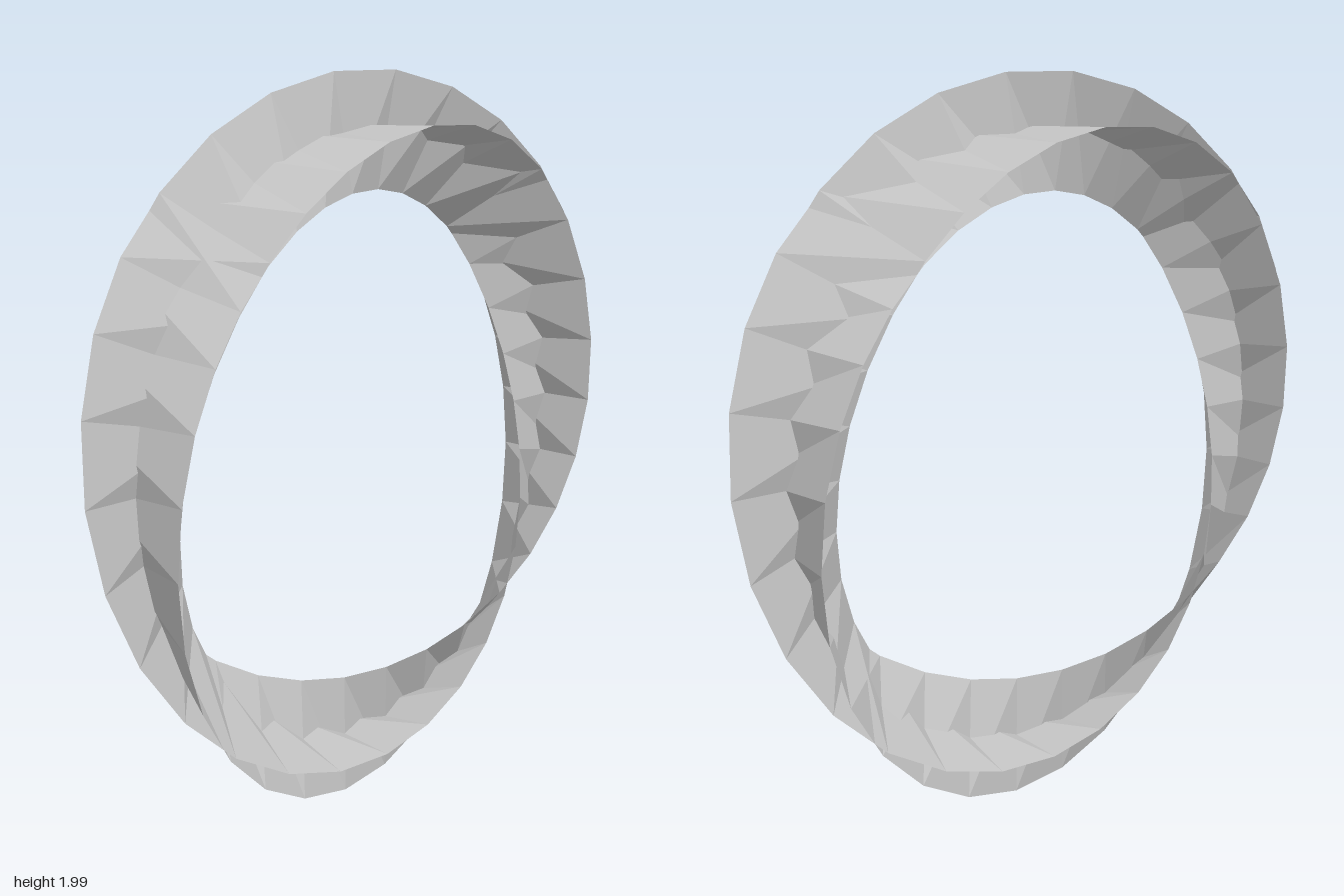
import * as THREE from 'three';
import { ParametricGeometry } from 'three/addons/geometries/ParametricGeometry.js';

const RADIUS = 0.84;   // centre line of the ring
const WIDTH = 0.32;    // width of each ribbon
const SEGMENTS = 30;

// A closed ribbon that makes one full turn about its centre line.
// hand is +1 or -1 for the twist direction, start the tilt at the +x side.
function ribbonGeometry(hand, start) {
  const point = (u, v, target) => {
    const angle = u * Math.PI * 2;
    const tilt = start + hand * angle;
    const across = (v - 0.5) * WIDTH;
    const r = RADIUS + across * Math.cos(tilt);
    target.set(r * Math.cos(angle), r * Math.sin(angle), across * Math.sin(tilt));
  };
  const geometry = new ParametricGeometry(point, SEGMENTS, 1).toNonIndexed();
  geometry.computeVertexNormals(); // flat facets
  return geometry;
}

export function createModel() {
  const group = new THREE.Group();
  group.name = 'twistedRing';

  const grey = new THREE.MeshStandardMaterial({
    color: 0xc0c0c0, flatShading: true, side: THREE.DoubleSide,
  });
  grey.name = 'grey';

  // Two ribbons with opposite twist, square to each other at the sides, top and bottom
  const ribbons = [
    ['leftTwistRibbon', 1, 0],
    ['rightTwistRibbon', -1, Math.PI / 2],
  ];
  for (const [name, hand, start] of ribbons) {
    const mesh = new THREE.Mesh(ribbonGeometry(hand, start), grey);
    mesh.name = name;
    mesh.position.y = 0.995;
    group.add(mesh);
  }
  return group;
}
